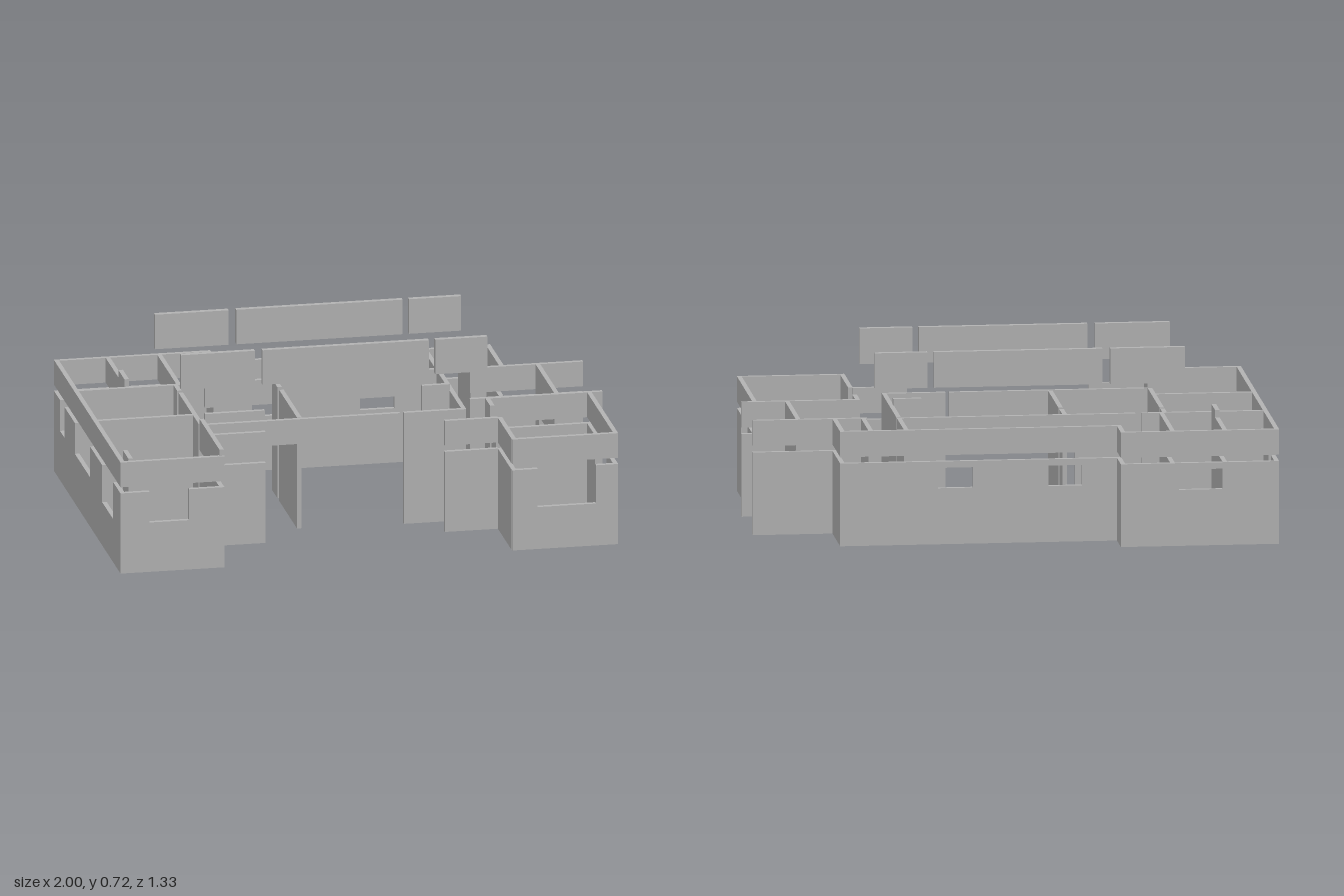
import * as THREE from 'three';

const LOW = 0.325;            // top of the lower walls
const BAND = [0.35, 0.45];    // upper wall band
const T = 0.018;              // wall thickness

export function createModel() {
  const model = new THREE.Group();
  model.name = 'houseWalls';
  const plaster = new THREE.MeshStandardMaterial({ color: 0xb2b2b2 });
  plaster.name = 'grey plaster';

  // Straight wall on axis 'x' or 'z' from a to b, centred at c on the other axis.
  // Openings are [from, to, bottom, top] and are cut out of the wall outline.
  function wall(name, axis, c, a, b, y0, y1, openings = [], t = T) {
    const group = new THREE.Group();
    group.name = name;
    const box = (p, q, lo, hi) => {
      if (q - p < 1e-4 || hi - lo < 1e-4) return;
      const size = axis === 'x' ? [q - p, hi - lo, t] : [t, hi - lo, q - p];
      const mesh = new THREE.Mesh(new THREE.BoxGeometry(...size), plaster);
      const mid = (p + q) / 2, y = (lo + hi) / 2;
      mesh.position.set(axis === 'x' ? mid : c, y, axis === 'x' ? c : mid);
      mesh.name = name + 'Panel';
      group.add(mesh);
    };
    let from = a;
    for (const [p, q, lo, hi] of openings) {
      box(from, p, y0, y1);
      box(p, q, y0, lo);
      box(p, q, hi, y1);
      from = q;
    }
    box(from, b, y0, y1);
    model.add(group);
  }
  const full = (name, axis, c, a, b, top = 0.45) => wall(name, axis, c, a, b, 0, top);
  // Lower wall and upper band with an open slot between them
  function split(name, axis, c, a, b, openings = [], top = BAND[1]) {
    wall(name + 'Lower', axis, c, a, b, 0, LOW, openings);
    wall(name + 'Band', axis, c, a, b, BAND[0], top);
  }

  // Outer walls: back
  split('backWingWall', 'x', -0.659, -1, -0.385, [[-0.78, -0.61, 0.22, 0.3]]);
  split('backJogWall', 'z', -0.394, -0.65, -0.515);
  split('backWall', 'x', -0.522, -0.403, 0.69, [[-0.25, -0.12, 0.22, 0.3], [0.175, 0.31, 0.22, 0.3]]);
  split('backCornerWall', 'z', 0.681, -0.513, -0.265);

  // Outer walls: side at -x and its front wing
  split('rightSideWall', 'z', -0.991, -0.65, 0.645,
    [[-0.545, -0.455, 0.2, LOW], [-0.25, 0.05, 0.2, LOW], [0.29, 0.51, 0.175, LOW]]);
  split('rightWingFront', 'x', 0.645, -1, -0.59, [[-0.885, -0.73, 0.2, LOW]]);
  split('rightWingInner', 'z', -0.6, 0.25, 0.645, [], 0.475);

  // Outer walls: side at +x and its front wing
  split('leftBackReturn', 'x', -0.255, 0.555, 1);
  split('leftFrontReturn', 'x', 0.13, 0.54, 1);
  wall('entryWall', 'z', 0.822, -0.25, 0.122, 0, 0.45,
    [[-0.185, 0.055, 0, 0.26]].map(([p, q, lo, hi]) => [p, q, lo, hi]));
  split('leftWingSide', 'z', 0.948, 0.135, 0.655, [[0.29, 0.525, 0.17, LOW]]);
  split('leftWingFront', 'x', 0.655, 0.54, 0.957, [[0.64, 0.87, 0.17, LOW]]);
  split('leftWingInner', 'z', 0.548, 0.375, 0.655);
  full('leftWingDoorPier', 'z', 0.548, 0.135, 0.23);
  wall('leftWingLintel', 'z', 0.548, 0.26, 0.35, 0.29, 0.35);

  // Porch screens and the courtyard front
  split('porchScreenRight', 'x', 0.375, -0.591, -0.375);
  split('porchScreenLeft', 'x', 0.375, 0.33, 0.54);
  wall('courtyardBand', 'x', 0.244, -0.591, 0.18, ...BAND);
  full('courtyardWall', 'x', 0.244, 0.195, 0.44);

  // Interior partitions
  full('corridorWall', 'x', -0.27, -0.982, -0.51);
  wall('hallBand', 'x', -0.27, -0.485, 0.425, ...BAND);
  wall('hallWall', 'x', -0.27, -0.485, -0.25, 0, LOW);
  split('bedroomPartitionA', 'z', -0.79, -0.65, -0.4);
  full('bedroomPartitionAEnd', 'z', -0.79, -0.4, -0.28, 0.48);
  split('bedroomPartitionB', 'z', -0.587, -0.65, -0.28);
  full('closetStub', 'z', -0.731, -0.262, -0.19, LOW);
  full('roomStub', 'z', -0.6, -0.262, -0.19);
  full('roomWall', 'z', -0.6, -0.165, 0.235);
  full('rightWingPartition', 'x', 0.114, -0.982, -0.6);
  full('rightWingStub', 'z', -0.876, 0.12, 0.23, LOW);
  full('livingStub', 'z', -0.212, -0.262, -0.16);
  full('livingWall', 'z', -0.212, -0.125, 0.23);
  full('kitchenWall', 'z', 0.432, -0.25, 0.25);
  full('kitchenBackWall', 'z', 0.432, -0.515, -0.26);
  full('kitchenStub', 'x', 0, 0.315, 0.425, 0.475);
  full('storeWall', 'z', 0.57, -0.515, -0.265);

  // Raised clerestory panels, front and back rows
  for (const z of [0.185, -0.335])
    for (const [a, b] of [[-0.67, -0.38], [-0.35, 0.305], [0.33, 0.535]])
      wall('clerestoryPanel', 'x', z, a, b, 0.58, 0.72, [], 0.022);

  return model;
}
